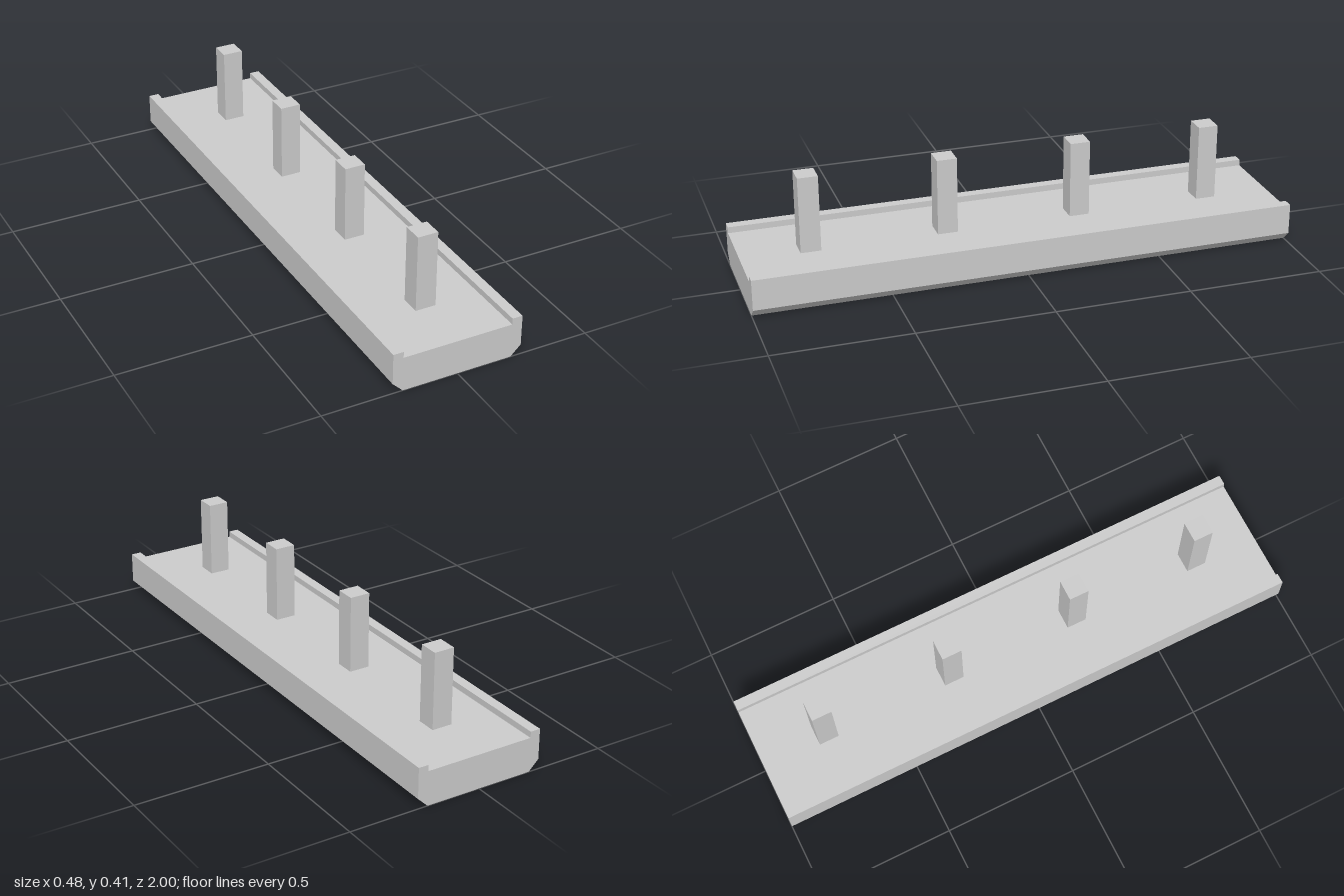
import * as THREE from 'three';

const LENGTH = 2;
const RECESS = 0.018; // depth of the underside panels
const RECESS_HALF = 0.193; // half width of the underside panels

export function createModel() {
  const group = new THREE.Group();
  const material = new THREE.MeshStandardMaterial({ color: 0xcccccc, flatShading: true });

  const add = (name, geometry, x, y, z) => {
    const mesh = new THREE.Mesh(geometry, material);
    mesh.name = name;
    mesh.position.set(x, y, z);
    group.add(mesh);
  };

  // Deck: raised kerbs, chamfered lower edges and a shallow channel underneath
  const half = [
    [RECESS_HALF, RECESS], [RECESS_HALF, 0], [0.204, 0], [0.242, 0.037],
    [0.242, 0.151], [0.204, 0.151], [0.204, 0.128],
  ];
  const outline = [...half, ...half.map(([x, y]) => [-x, y]).reverse()];
  const shape = new THREE.Shape(outline.map(([x, y]) => new THREE.Vector2(x, y)));
  add('deck', new THREE.ExtrudeGeometry(shape, { depth: LENGTH, bevelEnabled: false }), 0, 0, -LENGTH / 2);

  // Cross ribs divide the channel into four recessed panels
  for (let i = 0; i <= 4; i++) {
    const end = i === 0 || i === 4;
    const width = end ? 0.015 : 0.03;
    const z = end ? Math.sign(i - 2) * (LENGTH / 2 - width / 2) : (i - 2) * 0.5;
    add('underRib', new THREE.BoxGeometry(RECESS_HALF * 2, RECESS, width), 0, RECESS / 2, z);
  }

  // Row of square posts along the centre line
  const bottom = 0.128, top = 0.413;
  for (const z of [-0.75, -0.25, 0.25, 0.75]) {
    add('post', new THREE.BoxGeometry(0.076, top - bottom, 0.074), 0, (top + bottom) / 2, z);
  }

  return group;
}
